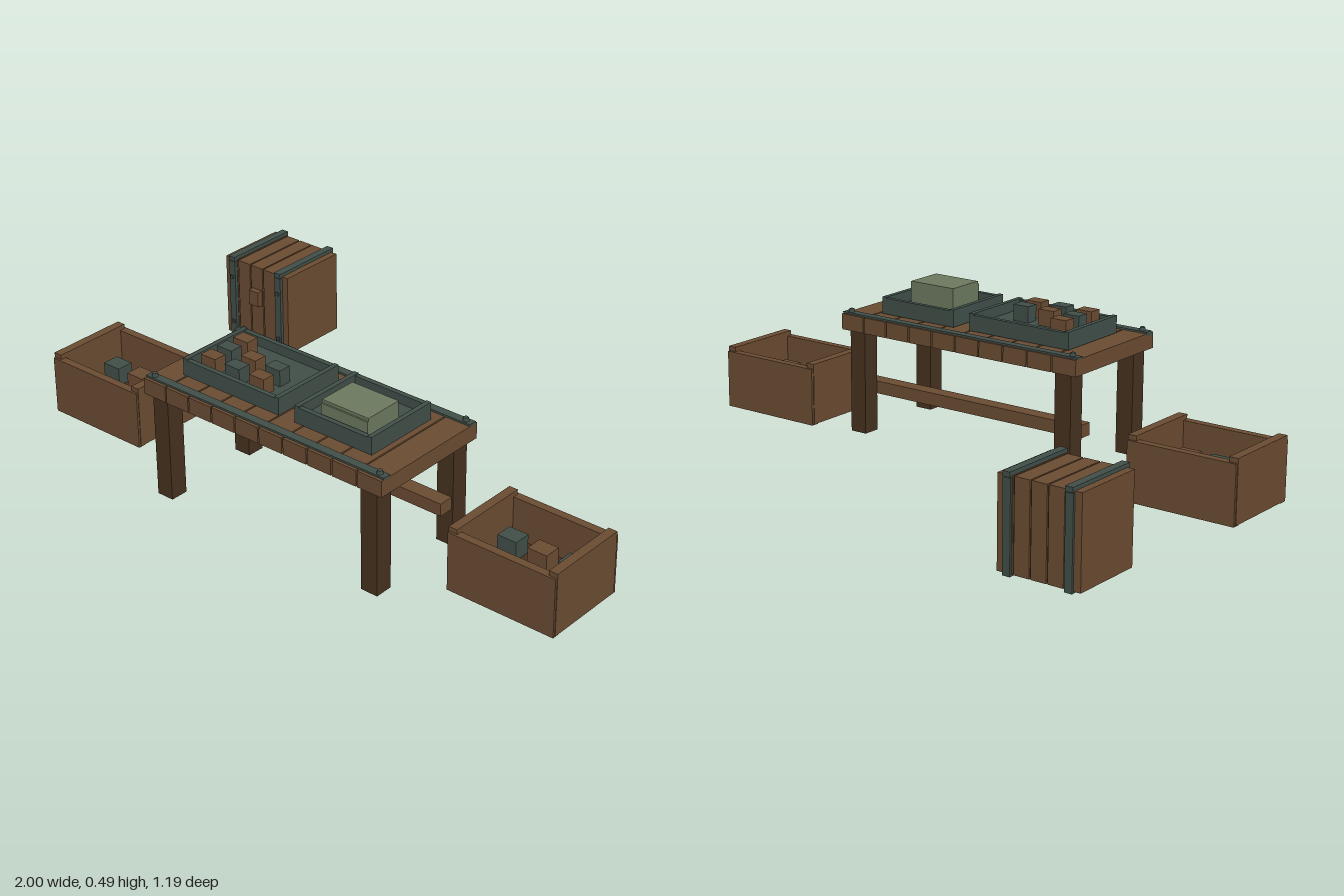
import * as THREE from 'three';

const mat = (name, color) => {
  const m = new THREE.MeshStandardMaterial({ color });
  m.name = name;
  return m;
};

export function createModel() {
  const wood = mat('wood', 0x6b4c32);
  const darkWood = mat('darkWood', 0x46321f);
  const teal = mat('tealMetal', 0x414f49);
  const green = mat('paleGreen', 0x6c7a5f);

  const root = new THREE.Group();
  root.name = 'workbenchSet';
  const group = (name) => {
    const g = new THREE.Group();
    g.name = name;
    root.add(g);
    return g;
  };
  // Box given by its minimum and maximum on each axis
  const box = (parent, name, m, x0, x1, y0, y1, z0, z1) => {
    const mesh = new THREE.Mesh(new THREE.BoxGeometry(x1 - x0, y1 - y0, z1 - z0), m);
    mesh.position.set((x0 + x1) / 2, (y0 + y1) / 2, (z0 + z1) / 2);
    mesh.name = name;
    parent.add(mesh);
  };
  // Row of boards along x with narrow gaps
  const boards = (parent, name, n, gap, x0, x1, y0, y1, z0, z1) => {
    const step = (x1 - x0 + gap) / n;
    for (let i = 0; i < n; i++) {
      const x = x0 + i * step;
      box(parent, name, wood, x, x + step - gap, y0, y1, z0, z1);
    }
  };

  // Table
  const table = group('table');
  boards(table, 'tablePlank', 10, 0.005, -0.41, 0.515, 0.345, 0.398, 0.165, 0.595);
  for (const x of [-0.385, 0.43])
    for (const z of [0.178, 0.523])
      box(table, 'tableLeg', darkWood, x, x + 0.06, 0, 0.345, z, z + 0.061);
  box(table, 'stretcher', wood, -0.38, 0.485, 0.125, 0.167, 0.239, 0.29);

  // Edge straps with bolts
  for (const z of [0.185, 0.571]) {
    box(table, 'edgeStrap', teal, -0.41, 0.515, 0.39, 0.404, z - 0.014, z + 0.014);
    for (const x of [-0.385, 0.49]) {
      const bolt = new THREE.Mesh(new THREE.CylinderGeometry(0.008, 0.011, 0.014, 8), teal);
      bolt.position.set(x, 0.408, z);
      bolt.name = 'strapBolt';
      table.add(bolt);
    }
  }

  // Open trays
  const tray = (name, x0, x1, z0, z1, top) => {
    const g = group(name);
    const t = 0.016;
    box(g, 'trayFloor', teal, x0 + 0.01, x1 - 0.01, 0.399, 0.422, z0 + 0.01, z1 - 0.01);
    for (const x of [x0, x1 - t]) box(g, 'traySide', teal, x, x + t, 0.4, top, z0, z1);
    for (const z of [z0, z1 - t]) box(g, 'trayEnd', teal, x0 + t, x1 - t, 0.4, top - 0.004, z, z + t);
    return g;
  };
  const partsTray = tray('partsTray', -0.33, 0.053, 0.24, 0.506, 0.457);
  const blockTray = tray('blockTray', 0.115, 0.405, 0.24, 0.506, 0.457);

  // Small blocks in the parts tray: column, row, material
  const blocks = [[0, 0, wood], [0, 1, teal], [1, 1, wood], [2, 1, teal],
    [0, 2, wood], [1, 2, teal], [2, 2, wood]];
  for (const [c, r, m] of blocks) {
    const x = -0.254 + c * 0.097, z = 0.315 + r * 0.07;
    box(partsTray, 'smallBlock', m, x - 0.029, x + 0.029, 0.42, 0.475, z - 0.022, z + 0.022);
  }

  // Pale block
  box(blockTray, 'paleBlock', green, 0.197, 0.37, 0.42, 0.494, 0.345, 0.478);
  box(blockTray, 'paleBlockFace', green, 0.197, 0.37, 0.42, 0.484, 0.477, 0.483);

  // Open crates, one on each side
  for (const [name, cx] of [['rightCrate', -0.81], ['leftCrate', 0.81]]) {
    const g = group(name);
    const x0 = cx - 0.19, x1 = cx + 0.19;
    box(g, 'crateFloor', darkWood, x0 + 0.005, x1 - 0.005, 0.003, 0.06, 0.138, 0.425);
    for (const x of [x0, x1 - 0.03]) box(g, 'crateEnd', wood, x, x + 0.03, 0.005, 0.212, 0.14, 0.424);
    for (const z of [0.132, 0.404]) box(g, 'crateSide', wood, x0 + 0.002, x1 - 0.002, 0.002, 0.196, z, z + 0.027);
    for (let c = 0; c < 3; c++)
      for (let r = 0; r < 2; r++) {
        const x = cx + (c - 1) * 0.108, z = 0.228 + r * 0.116;
        box(g, 'crateBlock', (c + r) % 2 ? wood : teal, x - 0.034, x + 0.034, 0.06, 0.122, z - 0.029, z + 0.029);
      }
  }

  // Upright chest of boards around a dark core
  const chest = group('chest');
  boards(chest, 'chestPlank', 5, 0.005, -0.952, -0.672, 0.008, 0.294, -0.585, -0.334);
  box(chest, 'chestCore', darkWood, -0.945, -0.68, 0.014, 0.288, -0.579, -0.34);
  box(chest, 'latch', wood, -0.832, -0.79, 0.156, 0.21, -0.336, -0.314);

  // Metal bands with rivets
  for (const x of [-0.915, -0.708]) {
    const a = x - 0.013, b = x + 0.013;
    box(chest, 'bandFront', teal, a, b, 0.002, 0.288, -0.342, -0.323);
    box(chest, 'bandBack', teal, a, b, 0.002, 0.288, -0.592, -0.574);
    box(chest, 'bandTop', teal, a, b, 0.29, 0.306, -0.594, -0.322);
    for (const y of [0.06, 0.23])
      box(chest, 'rivet', teal, x - 0.006, x + 0.006, y - 0.006, y + 0.006, -0.324, -0.318);
  }

  return root;
}
